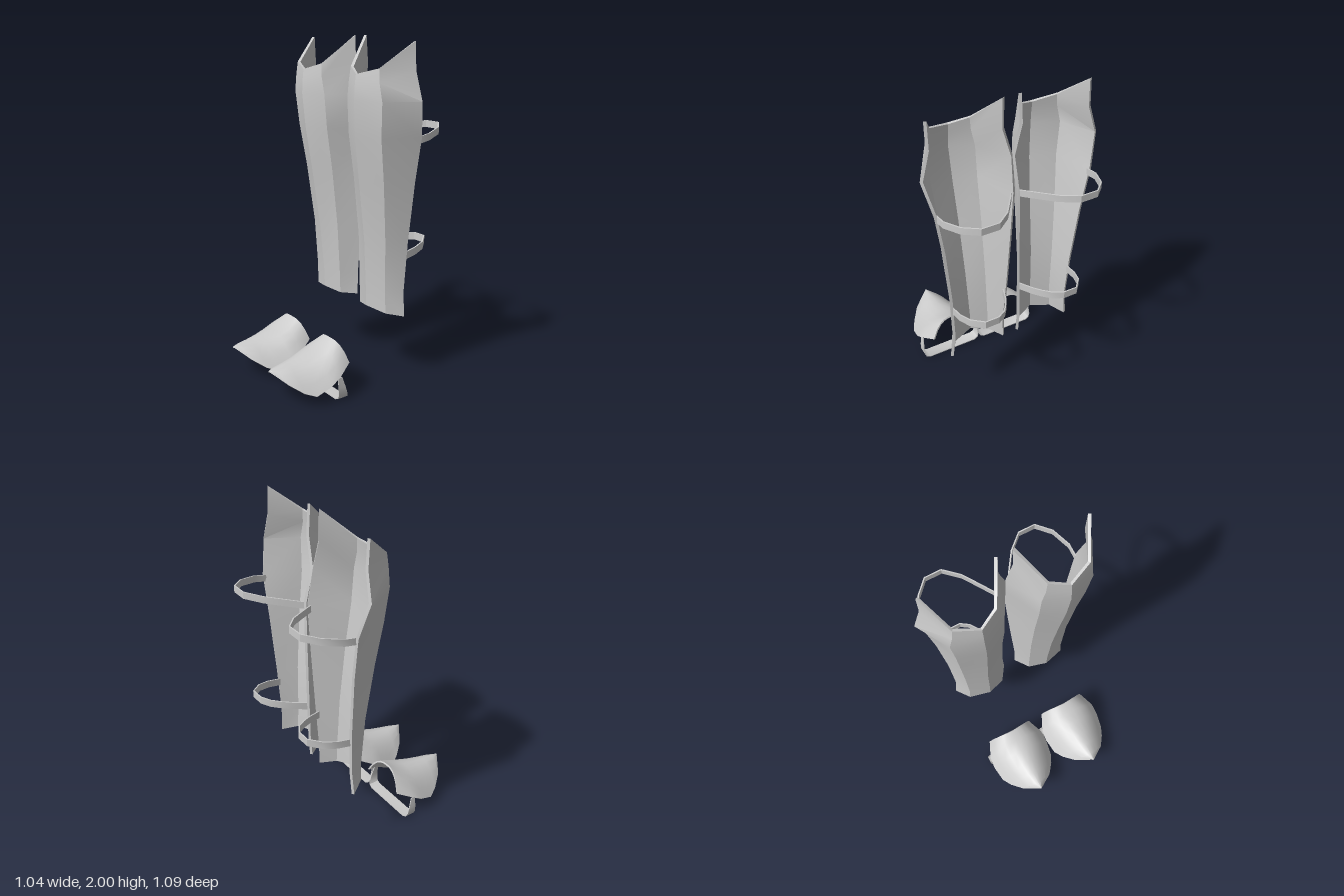
import * as THREE from 'three';
import { toCreasedNormals } from 'three/addons/utils/BufferGeometryUtils.js';

const material = new THREE.MeshStandardMaterial({ color: 0xcccccc, side: THREE.DoubleSide });

// Closed plate of thickness t under a grid of points; side = -1 mirrors it in x
function plate(name, grid, t, side, crease = 0.5) {
  const n = grid.length - 1, m = grid[0].length - 1;
  const A = grid.map((row) => row.map((p) => new THREE.Vector3(...p)));
  const B = A.map((row, i) => row.map((p, j) => {
    const di = A[Math.min(i + 1, n)][j].clone().sub(A[Math.max(i - 1, 0)][j]);
    const dj = A[i][Math.min(j + 1, m)].clone().sub(A[i][Math.max(j - 1, 0)]);
    return p.clone().addScaledVector(di.cross(dj).normalize(), -t);
  }));
  const pos = [];
  const tri = (a, b, c) => {
    for (const v of side > 0 ? [a, b, c] : [a, c, b]) pos.push(v.x * side, v.y, v.z);
  };
  const quad = (a, b, c, d) => { tri(a, b, c); tri(a, c, d); };
  for (let i = 0; i < n; i++) {
    for (let j = 0; j < m; j++) {
      quad(A[i][j], A[i + 1][j], A[i + 1][j + 1], A[i][j + 1]);
      quad(B[i][j], B[i][j + 1], B[i + 1][j + 1], B[i + 1][j]);
    }
  }
  const rim = (i, j, k, l) => quad(A[k][l], A[i][j], B[i][j], B[k][l]);
  for (let i = 0; i < n; i++) { rim(i, 0, i + 1, 0); rim(i + 1, m, i, m); }
  for (let j = 0; j < m; j++) { rim(n, j, n, j + 1); rim(0, j + 1, 0, j); }
  const geo = new THREE.BufferGeometry();
  geo.setAttribute('position', new THREE.Float32BufferAttribute(pos, 3));
  const mesh = new THREE.Mesh(toCreasedNormals(geo, crease), material);
  mesh.name = name;
  return mesh;
}

// Shin plate: five vertical ridge lines, peaked at the two upper corners
function shinPlate(side) {
  // y, five x positions (inner edge to outer edge), z of ridge, panel fold and edge
  const rows = [
    [1.80, 0.04, 0.14, 0.25, 0.385, 0.475, -0.005, -0.055, -0.225],
    [1.74, 0.045, 0.13, 0.25, 0.395, 0.475, 0.002, -0.05, -0.235],
    [1.66, -0.003, 0.11, 0.25, 0.415, 0.52, 0.006, -0.055, -0.245],
    [1.46, 0.005, 0.105, 0.24, 0.395, 0.475, -0.01, -0.07, -0.29],
    [1.20, 0.015, 0.105, 0.23, 0.375, 0.435, -0.05, -0.11, -0.285],
    [0.85, 0.03, 0.105, 0.22, 0.35, 0.4, -0.1, -0.15, -0.275],
    [0.55, 0.045, 0.1, 0.21, 0.335, 0.385, -0.125, -0.165, -0.265],
    [0.44, 0.04, 0.1, 0.21, 0.34, 0.4, -0.13, -0.17, -0.26],
  ];
  const lift = { 0: [0.195, 0.035, 0, 0.035, 0.175], 1: [0.09, 0.02, 0, 0.02, 0.08],
    7: [-0.03, -0.02, 0, -0.02, -0.04] };
  const grid = rows.map(([y, a, b, c, d, e, zc, zp, ze], i) => {
    const z = [ze, zp, zc, zp, ze];
    return [a, b, c, d, e].map((x, j) => [x, y + (lift[i] ? lift[i][j] : 0), z[j]]);
  });
  return plate('shinPlate', grid, 0.016, side);
}

// Calf strap: half hoop behind the shin plate that climbs toward the back
function calfStrap(side, path, y, rise, height) {
  const z0 = path[0][1], z1 = Math.min(...path.map((p) => p[1]));
  const grid = path.map(([x, z]) => {
    const top = y + rise * (z - z0) / (z1 - z0);
    return [[x, top, z], [x, top - height, z]];
  });
  return plate('calfStrap', grid, 0.008, side);
}

// Toe cap: arched shell narrowing to a point
function toeCap(side) {
  // half width, edge y, edge z, crown y, crown z, arch power
  const rows = [
    [0.15, 0.19, 0.1, 0.305, 0.137, 3],
    [0.195, 0.145, 0.195, 0.268, 0.2, 2.6],
    [0.2, 0.105, 0.26, 0.248, 0.27, 2.3],
    [0.186, 0.067, 0.35, 0.23, 0.36, 2],
    [0.155, 0.09, 0.41, 0.22, 0.43, 1.8],
    [0.1, 0.14, 0.48, 0.212, 0.5, 1.6],
    [0.004, 0.2, 0.545, 0.205, 0.548, 1],
  ];
  const grid = rows.map(([w, ye, ze, yc, zc, k]) => {
    const row = [];
    for (let j = -5; j <= 5; j++) {
      const u = Math.abs(j) / 5;
      row.push([0.2 + w * j / 5, yc + (ye - yc) * u ** k, zc + (ze - zc) * u * u]);
    }
    return row;
  });
  return plate('toeCap', grid, 0.01, side, 0.8);
}

// Sole strap: flat band looping under the foot
function soleStrap(side) {
  const half = [[0.192, 0.14], [0.2, 0.08], [0.2, 0.035], [0.19, 0.012], [0.165, 0.0]];
  const path = [...half.map(([x, y]) => [0.2 - x, y]),
    ...half.slice().reverse().map(([x, y]) => [0.2 + x, y])];
  const grid = path.map(([x, y]) => {
    const back = 0.14 + 0.3 * y;
    return [[x, y, back], [x, y, 0.21]];
  });
  return plate('soleStrap', grid, 0.006, side);
}

export function createModel() {
  const model = new THREE.Group();
  model.name = 'legArmour';
  const upper = [[0.015, -0.275], [0.045, -0.32], [0.09, -0.385], [0.15, -0.47], [0.237, -0.545],
    [0.34, -0.545], [0.417, -0.47], [0.46, -0.36], [0.46, -0.28]];
  const lower = [[0.05, -0.265], [0.085, -0.355], [0.115, -0.41], [0.155, -0.465], [0.21, -0.5],
    [0.295, -0.5], [0.357, -0.43], [0.38, -0.355], [0.385, -0.265]];
  for (const side of [1, -1]) {
    const leg = new THREE.Group();
    leg.name = side > 0 ? 'leftLeg' : 'rightLeg';
    leg.add(shinPlate(side), calfStrap(side, upper, 1.46, 0.05, 0.04),
      calfStrap(side, lower, 0.785, 0.045, 0.045), toeCap(side), soleStrap(side));
    model.add(leg);
  }
  return model;
}
